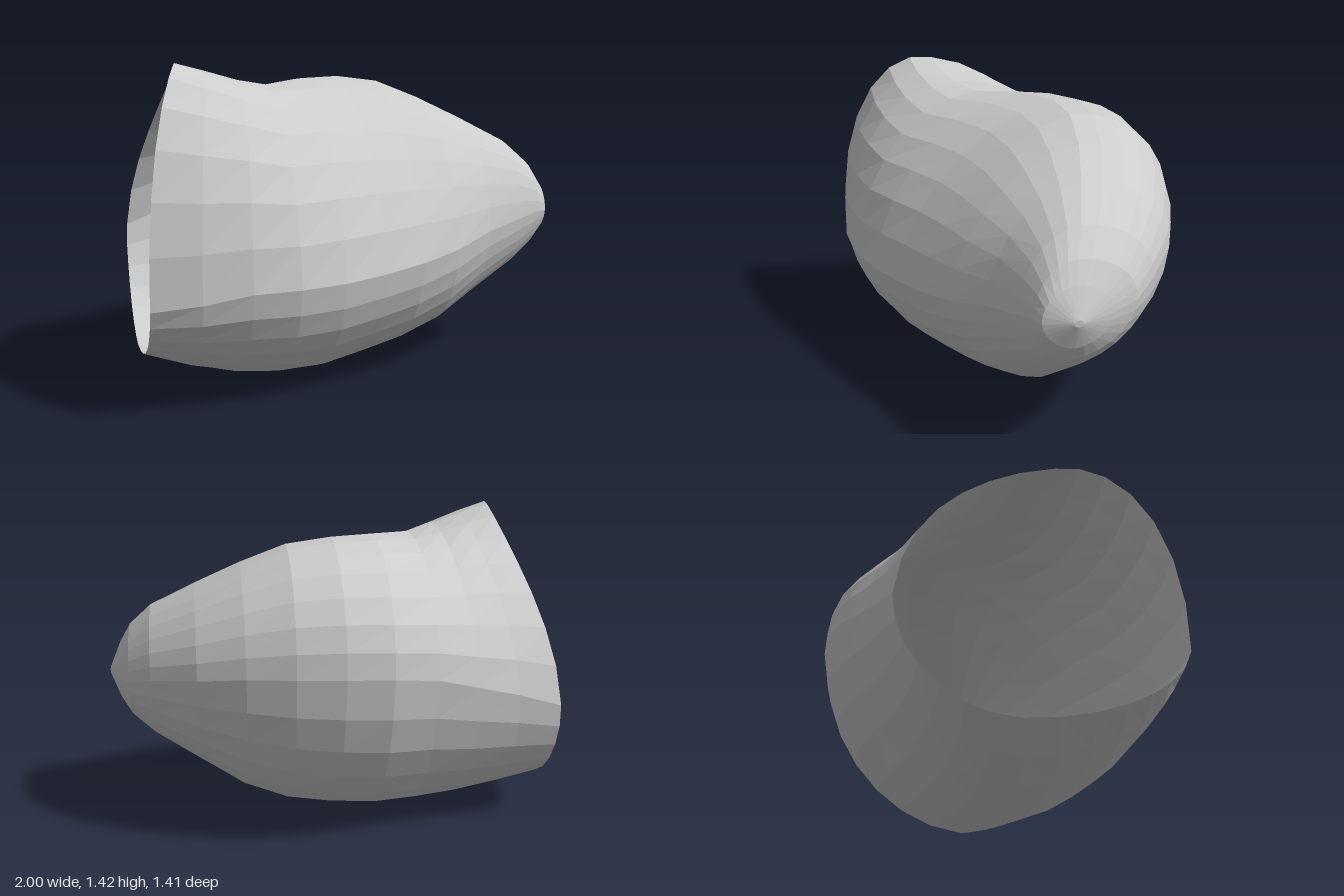
import * as THREE from 'three';

// Cross-sections along x:
// x, top y, top z, front z, front y, bottom y, bottom z, back z, back y
const SECTIONS = [
  [-1.0, 1.42, 0.21, 0.67, 0.48, 0.15, 0.0, -0.485, 0.62],
  [-0.8, 1.385, 0.19, 0.7, 0.5, 0.08, 0.05, -0.525, 0.69],
  [-0.6, 1.345, 0.15, 0.705, 0.53, 0.03, 0.07, -0.58, 0.75],
  [-0.4, 1.32, 0.07, 0.69, 0.53, 0.005, 0.06, -0.64, 0.81],
  [-0.2, 1.34, -0.1, 0.64, 0.53, 0.005, 0.04, -0.7, 0.84],
  [0.0, 1.345, -0.19, 0.57, 0.54, 0.035, 0.0, -0.71, 0.85],
  [0.2, 1.32, -0.2, 0.5, 0.56, 0.075, -0.02, -0.685, 0.85],
  [0.4, 1.24, -0.17, 0.41, 0.59, 0.15, -0.01, -0.62, 0.84],
  [0.6, 1.14, -0.11, 0.3, 0.64, 0.28, 0.01, -0.52, 0.81],
  [0.8, 1.03, -0.04, 0.225, 0.68, 0.41, 0.02, -0.36, 0.77],
  [0.9, 0.93, 0.01, 0.19, 0.7, 0.5, 0.03, -0.25, 0.73],
  [0.95, 0.84, 0.03, 0.17, 0.7, 0.575, 0.03, -0.13, 0.71],
  [1.0, 0.72, 0.035, 0.055, 0.705, 0.69, 0.035, 0.015, 0.705],
];
const SIDES = 28;

// Four elliptical quarters joined at the top, front, bottom and back
function sectionPoint([x, top, topZ, front, frontY, bottom, bottomZ, back, backY], j) {
  const a = (j / SIDES) * Math.PI * 2;
  const s = Math.sin(a), c = Math.cos(a);
  const toFront = j < SIDES / 2, upper = c >= 0;
  const midZ = upper ? topZ : bottomZ;
  const sideZ = toFront ? front : back;
  const sideY = toFront ? frontY : backY;
  // how far each quarter is flattened (or filled out, if negative)
  const middle = Math.max(0, 1 - Math.abs(x - 0.15) / 0.8);
  const nearRim = Math.max(0, (-0.4 - x) / 0.6);
  let flat;
  if (upper) flat = toFront ? 0.1 * middle - 0.06 * nearRim : 0.05 * nearRim - 0.03 * middle;
  else flat = toFront ? 0.05 : 0.03 * (1 - nearRim);
  const k = 1 - flat * Math.abs(Math.sin(2 * a));
  const z = midZ + (sideZ - midZ) * Math.abs(s) * k;
  const y = sideY + ((upper ? top : bottom) - sideY) * Math.abs(c) * k;
  // the open rim leans towards the tip at its top, more so at the back
  const lean = 0.18 * Math.max(0, (y - 0.5) / 0.92) ** 2 * (1.18 - 0.9 * z) * nearRim;
  return [x + lean, y, z];
}

function loftGeometry() {
  const positions = [], index = [];
  SECTIONS.forEach((section, i) => {
    for (let j = 0; j < SIDES; j++) {
      positions.push(...sectionPoint(section, j));
      if (i === SECTIONS.length - 1) continue;
      const a = i * SIDES + j, b = i * SIDES + ((j + 1) % SIDES);
      index.push(a, b, a + SIDES, b, b + SIDES, a + SIDES);
    }
  });
  const geometry = new THREE.BufferGeometry();
  geometry.setAttribute('position', new THREE.Float32BufferAttribute(positions, 3));
  geometry.setIndex(index);
  geometry.computeVertexNormals();
  return geometry;
}

export function createModel() {
  const group = new THREE.Group();
  group.name = 'openShell';
  // Thin shell, open at the wide end, with a tiny hole at the tip
  const shell = new THREE.Mesh(
    loftGeometry(),
    new THREE.MeshStandardMaterial({ color: 0xcccccc, flatShading: true, side: THREE.DoubleSide })
  );
  shell.name = 'shell';
  group.add(shell);
  return group;
}
